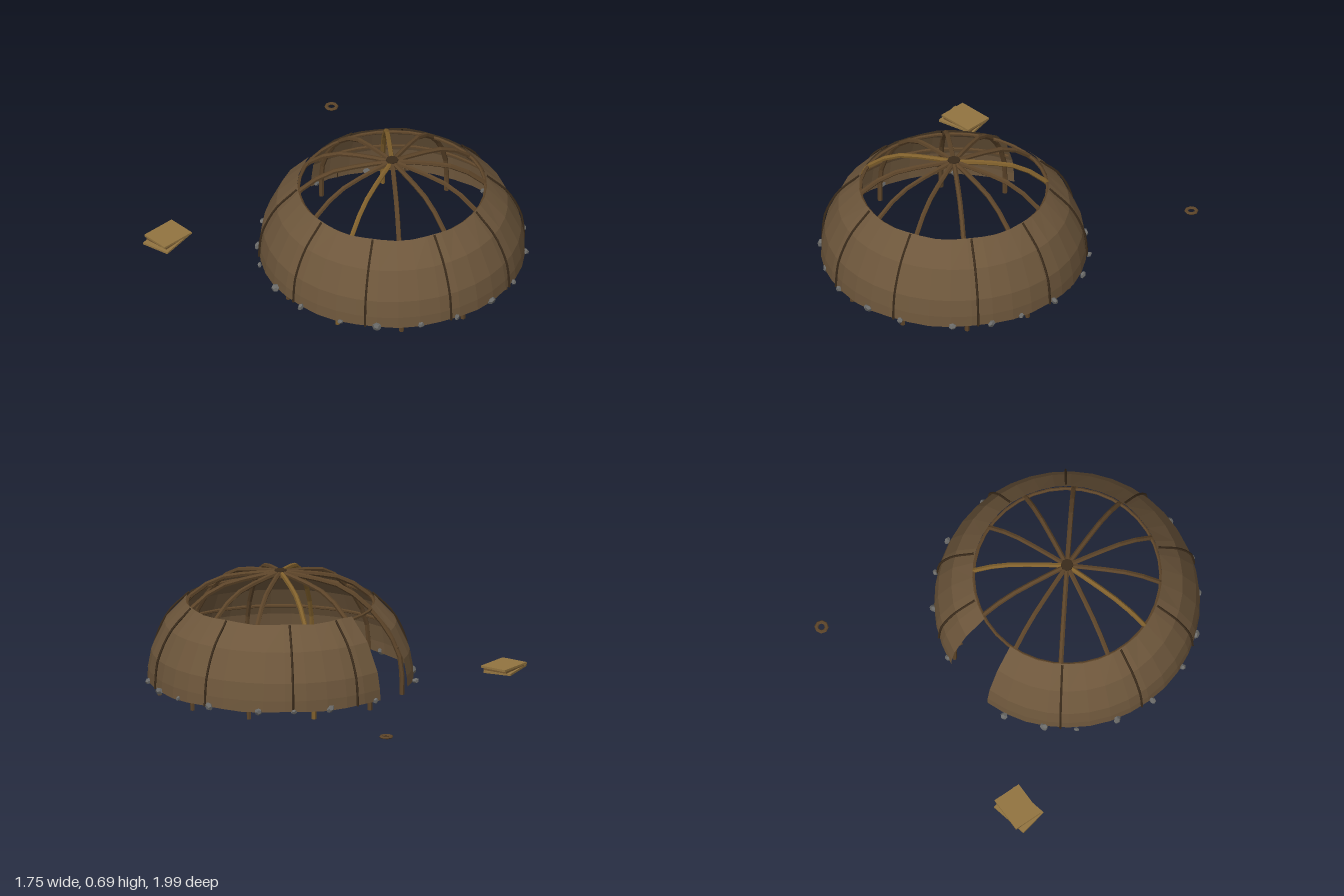
import * as THREE from 'three';

const DEG = Math.PI / 180;
const CX = 0.015, CZ = 0.2;           // centre of the hut
const DOOR_A = -78.3, DOOR_B = 258;   // cover runs between these angles, doorway at the back

const mat = (name, color, extra = {}) => {
  const m = new THREE.MeshStandardMaterial({ color, flatShading: true, ...extra });
  m.name = name;
  return m;
};

// point at a given angle (degrees, from +x towards +z), radius and height
const polar = (a, r, y) =>
  new THREE.Vector3(CX + r * Math.cos(a * DEG), y, CZ + r * Math.sin(a * DEG));

const COVER = [[0.764, 0.055], [0.76, 0.12], [0.742, 0.22], [0.665, 0.385], [0.545, 0.515]];
const POLE = [[0.72, 0], [0.722, 0.1], [0.7, 0.25], [0.63, 0.38], [0.52, 0.51],
  [0.375, 0.612], [0.2, 0.655], [0, 0.678]];

export function createModel() {
  const model = new THREE.Group();
  const hide = mat('hide brown', 0x6e573c, { side: THREE.DoubleSide });
  const wood = mat('wood brown', 0x5c4429);
  const paleWood = mat('pale wood', 0x80602c);
  const cord = mat('dark cord', 0x3a2b1b);
  const stone = mat('stone grey', 0x6b6b69);
  const straw = mat('straw mat', 0x927440);
  const strawDark = mat('dark straw mat', 0x735630);

  const add = (name, geo, material, parent = model) => {
    const m = new THREE.Mesh(geo, material);
    m.name = name;
    parent.add(m);
    return m;
  };
  const group = (name) => {
    const g = new THREE.Group();
    g.name = name;
    model.add(g);
    return g;
  };
  const tube = (pts, segs, r, sides, closed = false) =>
    new THREE.TubeGeometry(new THREE.CatmullRomCurve3(pts, closed, 'centripetal'), segs, r, sides, closed);

  // hide cover: rings of facets, open at the doorway and at the top
  const cols = 36, rows = COVER.length, pos = [], idx = [];
  for (let i = 0; i <= cols; i++) {
    const a = DOOR_A + (DOOR_B - DOOR_A) * i / cols;
    COVER.forEach(([r, y], j) => {
      const sag = j === 0 || j === rows - 1 ? 0.004 * Math.sin(i * 1.6) : 0;
      pos.push(...polar(a, r, y + sag).toArray());
      if (i < cols && j < rows - 1) {
        const p = i * rows + j, q = p + rows;
        idx.push(p, p + 1, q, p + 1, q + 1, q);
      }
    });
  }
  const coverGeo = new THREE.BufferGeometry();
  coverGeo.setAttribute('position', new THREE.Float32BufferAttribute(pos, 3));
  coverGeo.setIndex(idx);
  coverGeo.computeVertexNormals();
  add('hideCover', coverGeo, hide);

  // stitched seams over the cover
  const seams = group('seams');
  for (const a of [-65, -35, 5, 40.5, 78, 113, 151, 187, 224]) {
    const pts = COVER.map(([r, y], j) => polar(a, r + (j === 2 || j === 3 ? 0.008 : 0.003), y));
    add('seam', tube(pts, 10, 0.007, 5), cord, seams);
  }

  // bent poles meeting at the top
  const poles = group('poles');
  for (let k = 0; k < 12; k++) {
    const a = 15 + 30 * k;
    const m = a === 165 || a === 315 ? paleWood : wood;
    add('pole', tube(POLE.map(([r, y]) => polar(a, r, y)), 10, 0.0145, 6), m, poles);
    const foot = add('poleFoot', new THREE.CircleGeometry(0.0145, 6), m, poles);
    foot.rotation.x = Math.PI / 2;
    foot.position.copy(polar(a, 0.72, 0.001));
  }

  // inner hoops: the lower one stops at the doorway, the upper one closes
  const hoops = group('hoops');
  const arc = (a0, a1, r, y, n) =>
    Array.from({ length: n }, (_, i) => polar(a0 + (a1 - a0) * i / (n - 1), r, y));
  add('lowerHoop', tube(arc(DOOR_A, DOOR_B, 0.695, 0.28, 34), 48, 0.01, 6), wood, hoops);
  add('upperHoop', tube(arc(0, 350, 0.538, 0.495, 36), 36, 0.01, 6, true), wood, hoops);

  // lashing at the crown
  add('crownLashing', new THREE.CylinderGeometry(0.036, 0.04, 0.026, 8), cord)
    .position.set(CX, 0.68, CZ);

  // stones weighing down the hem
  const stones = group('hemStones');
  [[-0.27, -0.53], [-0.47, -0.4], [-0.605, -0.27], [-0.715, -0.055], [-0.76, 0.175],
    [-0.72, 0.44], [-0.62, 0.63], [-0.44, 0.81], [-0.25, 0.92], [0, 0.965], [0.22, 0.945],
    [0.49, 0.8], [0.65, 0.64], [0.73, 0.47], [0.785, 0.235], [0.75, -0.07], [0.65, -0.25],
    [0.49, -0.4], [0.21, -0.54]].forEach(([x, z], i) => {
    const s = add('stone', new THREE.DodecahedronGeometry(0.022 + 0.005 * Math.sin(i * 2.3)), stone, stones);
    s.scale.set(1, 0.7, 1);
    s.position.set(x, 0.062, z);
    s.rotation.set(i * 1.3, i * 2.1, i * 0.7);
  });

  // stack of mats behind the hut
  const mats = group('matStack');
  [[0.23, 0.17, 0.058, -6, strawDark], [0.2, 0.15, 0.0705, 1, strawDark],
    [0.215, 0.17, 0.083, 6, straw]].forEach(([w, d, y, turn, m], i) => {
    const b = add('mat', new THREE.BoxGeometry(w, 0.012, d), i === 0 ? straw : m, mats);
    b.position.set(i === 0 ? -0.757 : -0.745, y, -0.843);
    b.rotation.y = -turn * DEG;
  });

  // small coil of cord behind the hut
  const coil = add('cordCoil', new THREE.TorusGeometry(0.03, 0.011, 6, 8), wood);
  coil.rotation.x = Math.PI / 2;
  coil.scale.z = 0.7;
  coil.position.set(0.83, 0.06, -0.96);

  return model;
}
